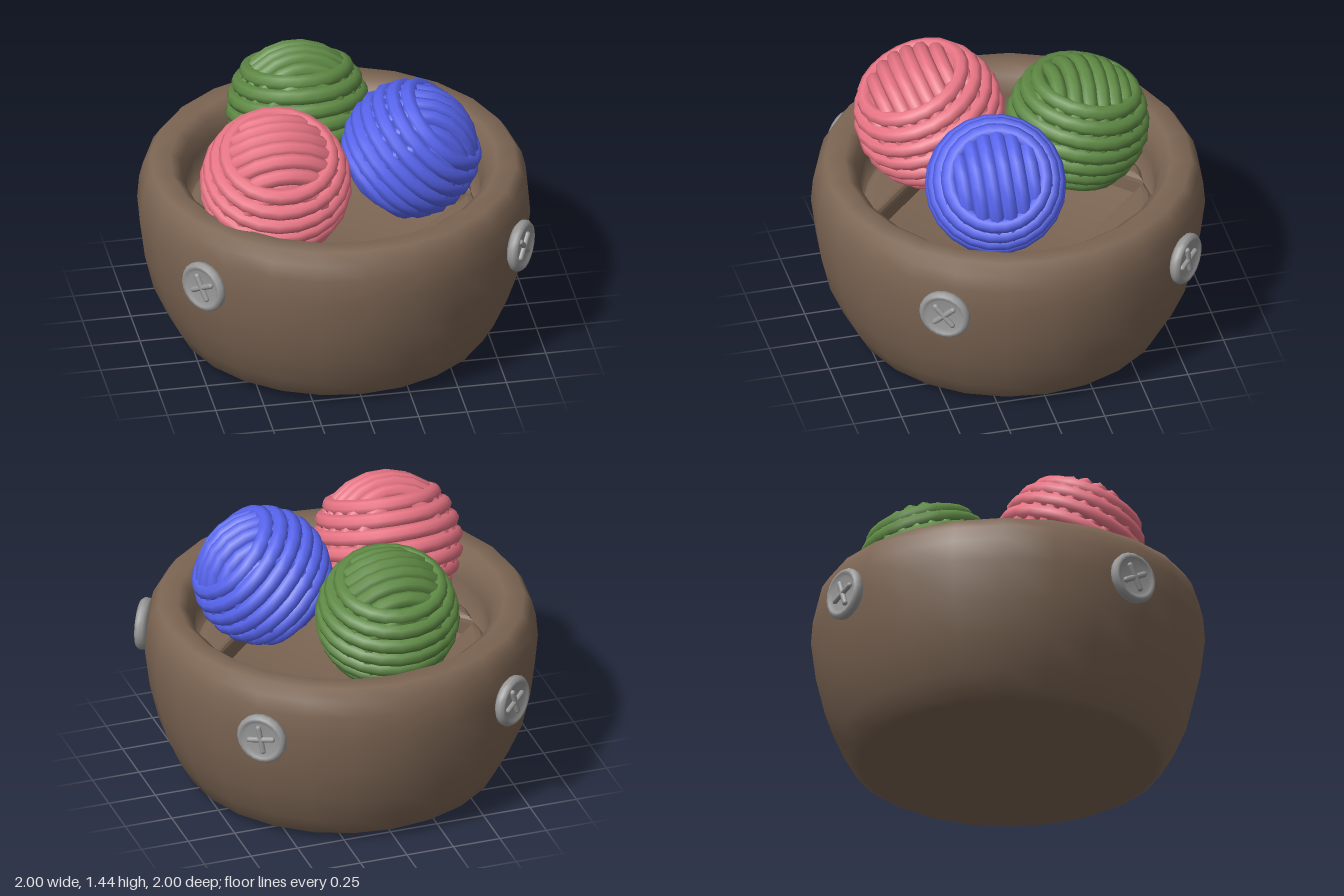
import * as THREE from 'three';

const mat = (color) => new THREE.MeshStandardMaterial({ color });
const brown = mat(0x7d6654), grey = mat(0x999999);

function part(geometry, material, name, parent) {
  const mesh = new THREE.Mesh(geometry, material);
  mesh.name = name;
  parent.add(mesh);
  return mesh;
}

const lathe = (points, segments) =>
  new THREE.LatheGeometry(points.map(([x, y]) => new THREE.Vector2(x, y)), segments);

// Yarn ball: a belt of rings around the axis, over a crossing set that fills both caps
function yarnBall(name, color, centre, radius, axis) {
  const ball = new THREE.Group();
  ball.name = name;
  const material = mat(color), tube = 0.042, belt = radius - tube, inner = belt - 0.018;
  const ring = (r, label) => part(new THREE.TorusGeometry(r, tube, 8, 22), material, label, ball);

  for (let i = -3; i <= 3; i++) {
    const a = i * 0.235;
    const m = ring(belt * Math.cos(a), 'beltStrand');
    m.rotation.x = Math.PI / 2;
    m.position.y = belt * Math.sin(a);
  }
  for (let i = -3.5; i <= 3.5; i++) {
    const d = i * 0.07;
    ring(Math.sqrt(inner * inner - d * d), 'capStrand').position.z = d;
  }
  part(new THREE.SphereGeometry(inner - 0.02, 20, 14), material, 'core', ball);

  const up = new THREE.Vector3(...axis).normalize();
  const side = new THREE.Vector3().crossVectors(up, new THREE.Vector3(0, 0, 1)).normalize();
  const front = new THREE.Vector3().crossVectors(side, up);
  ball.quaternion.setFromRotationMatrix(new THREE.Matrix4().makeBasis(side, up, front));
  ball.position.set(...centre);
  return ball;
}

// Button with a raised lip and a crossed stitch, facing +z
function button(twist) {
  const group = new THREE.Group();
  group.name = 'button';
  const disc = lathe([[0, -0.03], [0.11, -0.03], [0.132, -0.012], [0.135, 0.012], [0.122, 0.03],
    [0.105, 0.03], [0.088, 0.014], [0, 0.014]], 20);
  part(disc.rotateX(Math.PI / 2), grey, 'buttonDisc', group);
  for (const a of [0, Math.PI / 2]) {
    const stitch = part(new THREE.CapsuleGeometry(0.015, 0.13, 4, 8), grey, 'stitch', group);
    stitch.position.z = 0.02;
    stitch.rotation.z = a + twist;
  }
  return group;
}

// Quarter of the padded floor, in the +x +z corner
function cushionGeometry() {
  const gap = 0.065, r = 0.685, a = Math.asin(gap / r);
  const shape = new THREE.Shape();
  shape.moveTo(gap, gap);
  shape.absarc(0, 0, r, a, Math.PI / 2 - a, false);
  shape.closePath();
  const geometry = new THREE.ExtrudeGeometry(shape, {
    depth: 0.08, bevelThickness: 0.04, bevelSize: 0.05, bevelSegments: 3, curveSegments: 10,
  });
  return geometry.rotateX(Math.PI / 2).translate(0, 0.67, 0);
}

export function createModel() {
  const model = new THREE.Group();
  model.name = 'yarnBasket';

  // Bowl: outside wall, rounded rim, inside wall and floor
  part(lathe([[0, 0], [0.76, 0.02], [0.8, 0.045], [0.86, 0.15], [0.93, 0.31], [0.975, 0.5],
    [1, 0.7], [0.99, 0.82], [0.97, 0.9], [0.93, 0.96], [0.83, 0.96], [0.78, 0.92],
    [0.75, 0.82], [0.74, 0.6], [0, 0.6]], 24), brown, 'bowl', model);

  // Four padded quarters
  const quarter = cushionGeometry();
  for (let i = 0; i < 4; i++) {
    part(quarter, brown, 'cushionQuarter', model).rotation.y = i * Math.PI / 2;
  }

  // Buttons around the wall: x, z, stitch angle
  for (const [x, z, twist] of [[-0.79, 0.65, 0.5], [0.86, 0.55, 0.75], [0.69, -0.75, 0.2], [-0.63, -0.81, 0.35]]) {
    const b = button(twist);
    b.position.set(x, 0.68, z);
    b.rotation.y = Math.atan2(x, z);
    model.add(b);
  }

  model.add(
    yarnBall('pinkYarnBall', 0xe87585, [-0.36, 1.05, 0.32], 0.388, [0, 0.92, 0.38]),
    yarnBall('greenYarnBall', 0x5f8a45, [-0.11, 1.05, -0.39], 0.37, [0, 0.97, -0.22]),
    yarnBall('blueYarnBall', 0x5765ee, [0.37, 1.08, 0.16], 0.36, [0.7, 0.68, 0.15]),
  );
  return model;
}
